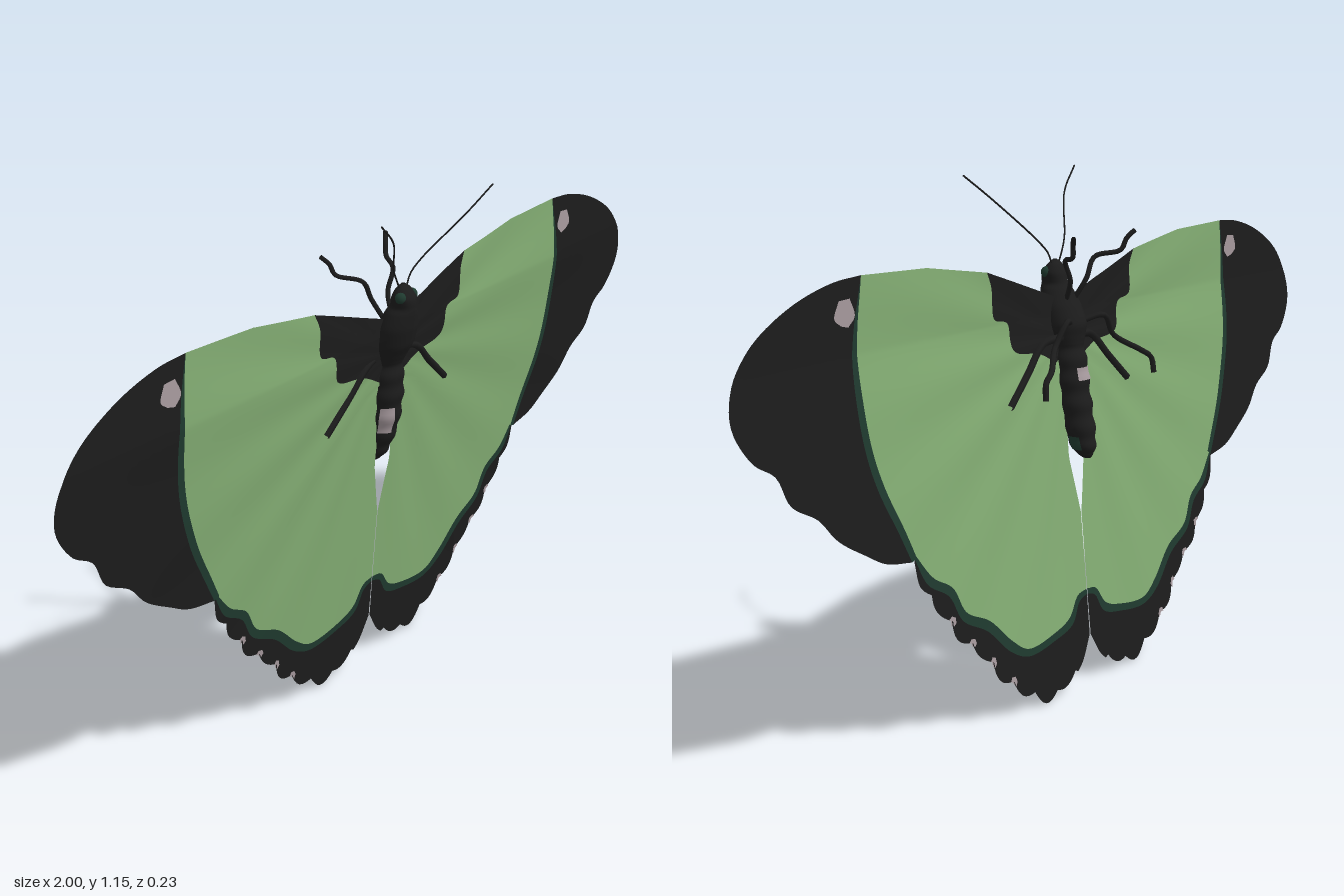
import * as THREE from 'three';

const paint = (name, color) => {
  const m = new THREE.MeshStandardMaterial({ color, side: THREE.DoubleSide });
  m.name = name;
  return m;
};
const GREEN = paint('wing green', 0x84ae74);
const BLACK = paint('black', 0x1c1c1c);
const TEAL = paint('dark green', 0x1f3a2f);
const PALE = paint('pale pink grey', 0xa79a9e);
const N = 72; // samples along each wing curve

// Wings lean back towards the bottom and ripple gently along the veins
function wingZ(x, y) {
  const r = Math.hypot(x, y - 0.8), a = Math.atan2(y - 0.8, x);
  return -0.004 - 0.094 * Math.max(0, 0.85 - y) + 0.003 * Math.sin(a * 17) * Math.min(1, r * 2) * Math.max(0, 1 - r);
}

// Samples a smooth curve through [x, y] points
function curve(pts) {
  return new THREE.CatmullRomCurve3(pts.map(([x, y]) => new THREE.Vector3(x, y, 0)), false, 'centripetal').getSpacedPoints(N);
}

// Surface from a grid of points (rows of equal length)
function grid(rows) {
  const w = rows[0].length, pos = [], idx = [];
  rows.forEach((row) => row.forEach((p) => pos.push(p.x, p.y, p.z)));
  for (let i = 0; i < rows.length - 1; i++) {
    for (let j = 0; j < w - 1; j++) {
      const a = i * w + j, b = a + w;
      idx.push(a, b, a + 1, b, b + 1, a + 1);
    }
  }
  const g = new THREE.BufferGeometry();
  g.setAttribute('position', new THREE.Float32BufferAttribute(pos, 3));
  g.setIndex(idx);
  g.computeVertexNormals();
  return g;
}

// Wing panel stretched between successive curves
function panel(curves, side, lift = 0, steps = 8) {
  const rows = [];
  for (let c = 0; c < curves.length - 1; c++) {
    for (let s = c ? 1 : 0; s <= steps; s++) {
      rows.push(curves[c].map((p, j) => {
        const q = p.clone().lerp(curves[c + 1][j], s / steps);
        return new THREE.Vector3(side * q.x, q.y, wingZ(q.x, q.y) + lift);
      }));
    }
  }
  return grid(rows);
}

// Body cross-sections: height, centre z, half width, half depth
const BODY = [
  [0.966, 0.022, 0.004, 0.004], [0.955, 0.022, 0.020, 0.015], [0.935, 0.024, 0.029, 0.027],
  [0.915, 0.022, 0.026, 0.031], [0.900, 0.017, 0.036, 0.036], [0.865, 0.006, 0.050, 0.043],
  [0.830, -0.006, 0.051, 0.046], [0.800, -0.013, 0.043, 0.037], [0.775, -0.018, 0.035, 0.031],
  [0.730, -0.022, 0.040, 0.037], [0.680, -0.027, 0.039, 0.038], [0.630, -0.036, 0.036, 0.039],
  [0.580, -0.049, 0.031, 0.035], [0.545, -0.059, 0.023, 0.026], [0.528, -0.065, 0.006, 0.010],
];
const bodyCurve = (k) => new THREE.CatmullRomCurve3(BODY.map((r) => new THREE.Vector3(r[k], r[k + 1] || 0, 0)));
const axis = bodyCurve(0), girth = bodyCurve(2);

// Body skin over a range of length t and angle a (0 is the front, growing to +x)
function bodySkin(t0, t1, a0, a1, grow, nt, na) {
  const rows = [];
  for (let i = 0; i <= nt; i++) {
    const t = t0 + (t1 - t0) * i / nt, c = axis.getPoint(t), g = girth.getPoint(t);
    const ridge = t > 0.55 ? 1 + 0.06 * Math.sin(t * 85) : 1;
    rows.push(Array.from({ length: na + 1 }, (_, j) => {
      const a = a0 + (a1 - a0) * j / na;
      return new THREE.Vector3(Math.sin(a) * (g.x * ridge + grow), c.x, c.y + Math.cos(a) * (g.y * ridge + grow));
    }));
  }
  return grid(rows);
}

export function createModel() {
  const model = new THREE.Group();
  const add = (parent, name, geo, mat) => {
    const m = new THREE.Mesh(geo, mat);
    m.name = name;
    parent.add(m);
    return m;
  };

  // Forewing curves, each from the leading edge to the trailing edge
  const foreRoot = curve([[0.01, 0.88], [0.01, 0.74]]);
  const foreBase = curve([[0.27, 0.965], [0.255, 0.93], [0.25, 0.865], [0.205, 0.85], [0.19, 0.79], [0.10, 0.77], [0.03, 0.735]]);
  const foreMid = curve([[0.46, 0.994], [0.47, 0.80], [0.36, 0.56]]);
  const foreGreen = curve([[0.65, 1.0], [0.662, 0.9], [0.664, 0.79], [0.652, 0.68], [0.622, 0.58], [0.575, 0.48], [0.55, 0.425]]);
  const foreTeal = curve([[0.65, 1.0], [0.672, 0.9], [0.681, 0.79], [0.671, 0.68], [0.642, 0.58], [0.594, 0.48], [0.565, 0.42]]);
  const foreTip = curve([[0.65, 1.0], [0.73, 0.993], [0.84, 0.96], [0.94, 0.90], [0.99, 0.83], [0.998, 0.765], [0.957, 0.695],
    [0.905, 0.66], [0.875, 0.60], [0.81, 0.56], [0.765, 0.51], [0.695, 0.465], [0.64, 0.435], [0.565, 0.42]]);

  // Hindwing curves, each from the outer end to the body
  const hindRoot = curve([[0.02, 0.76], [0.028, 0.53]]);
  const hindMid = curve([[0.36, 0.575], [0.25, 0.40], [0.12, 0.34], [0.001, 0.40]]);
  const hindGreen = curve([[0.555, 0.43], [0.51, 0.375], [0.455, 0.34], [0.42, 0.28], [0.345, 0.24], [0.275, 0.175],
    [0.225, 0.145], [0.13, 0.152], [0.07, 0.172], [0.035, 0.215], [0.001, 0.222]]);
  const hindTeal = curve([[0.56, 0.425], [0.528, 0.365], [0.468, 0.325], [0.433, 0.265], [0.355, 0.22], [0.285, 0.155],
    [0.225, 0.128], [0.13, 0.135], [0.06, 0.155], [0.03, 0.20], [0.001, 0.21]]);
  const hindEdge = curve([[0.562, 0.42], [0.55, 0.36], [0.495, 0.285], [0.45, 0.225], [0.378, 0.165], [0.335, 0.11],
    [0.28, 0.065], [0.225, 0.03], [0.16, 0.003], [0.09, 0.025], [0.04, 0.055], [0.002, 0.115]]);
  // Scallops bite into the hind margin
  hindEdge.forEach((p, j) => {
    const bite = 0.016 * (1 - Math.abs(Math.sin(j / N * Math.PI * 9))) * (j > 3 && j < N - 8 ? 1 : 0);
    p.lerp(new THREE.Vector3(0.1, 0.5, 0), bite / 0.45);
  });

  for (const [side, label] of [[1, 'left'], [-1, 'right']]) {
    const wing = new THREE.Group();
    wing.name = label + 'Wings';
    model.add(wing);
    add(wing, 'forewingBase', panel([foreRoot, foreBase], side), BLACK);
    add(wing, 'forewingField', panel([foreBase, foreMid, foreGreen], side), GREEN);
    add(wing, 'forewingBorder', panel([foreGreen, foreTeal], side, 0, 1), TEAL);
    add(wing, 'forewingTip', panel([foreTeal, foreTip], side), BLACK);
    add(wing, 'hindwingField', panel([hindRoot, hindMid, hindGreen], side, -0.003), GREEN);
    add(wing, 'hindwingBorder', panel([hindGreen, hindTeal], side, -0.003, 1), TEAL);
    add(wing, 'hindwingMargin', panel([hindTeal, hindEdge], side, -0.003), BLACK);

    // Pale spots on both faces of the wing
    for (const lift of [0.003, -0.003]) {
      add(wing, 'forewingSpot', panel([
        curve([[0.685, 0.96], [0.672, 0.925], [0.69, 0.905]]),
        curve([[0.715, 0.958], [0.727, 0.925], [0.71, 0.91]])], side, lift, 2), PALE);
      for (const j of [16, 24, 32, 40]) {
        const rim = hindEdge.slice(j - 1, j + 2);
        const inner = rim.map((p) => p.clone().lerp(new THREE.Vector3(0.1, 0.5, 0), 0.025));
        add(wing, 'marginFleck', panel([inner, rim], side, lift - 0.003, 1), PALE);
      }
    }

    // Legs and antenna
    const limb = (name, pts, r) => add(model, label + name, new THREE.TubeGeometry(
      new THREE.CatmullRomCurve3(pts.map(([x, y, z]) => new THREE.Vector3(side * x, y, z)), false, 'centripetal'), 24, r, 6), BLACK);
    limb('FrontLeg', [[0.015, 0.88, -0.02], [0.03, 0.925, -0.042], [0.055, 0.97, -0.046], [0.09, 0.985, -0.092], [0.1, 1.01, -0.1], [0.115, 1.028, -0.112]], 0.0055);
    limb('MiddleLeg', [[0.02, 0.83, -0.035], [0.07, 0.84, -0.062], [0.11, 0.79, -0.06], [0.17, 0.75, -0.095], [0.2, 0.73, -0.103], [0.205, 0.695, -0.107]], 0.0065);
    limb('HindLeg', [[0.02, 0.80, -0.025], [0.09, 0.79, -0.012], [0.15, 0.735, -0.016], [0.22, 0.672, -0.022]], 0.009);
    limb('Antenna', [[0.01, 0.95, 0.022], [0.025, 0.98, 0.022], [0.05, 1.01, 0.033], [0.13, 1.10, 0.092], [0.2, 1.155, 0.115]], 0.002);

    // Eye and tail tint
    const eye = add(model, label + 'Eye', new THREE.SphereGeometry(0.013, 12, 8), TEAL);
    eye.position.set(side * 0.02, 0.938, 0.03);
    add(model, label + 'TailTint', bodySkin(0.86, 0.92, side * 1.1, side * 2.0, 0.002, 5, 6), TEAL);
  }

  // Body with pale patches on the belly and back
  add(model, 'body', bodySkin(0, 1, 0, Math.PI * 2, 0, 90, 20), BLACK);
  add(model, 'frontPatch', bodySkin(0.72, 0.81, -1.2, -0.3, 0.002, 8, 6), PALE);
  add(model, 'backPatch', bodySkin(0.64, 0.68, 2.6, 3.6, 0.002, 5, 6), PALE);
  return model;
}
